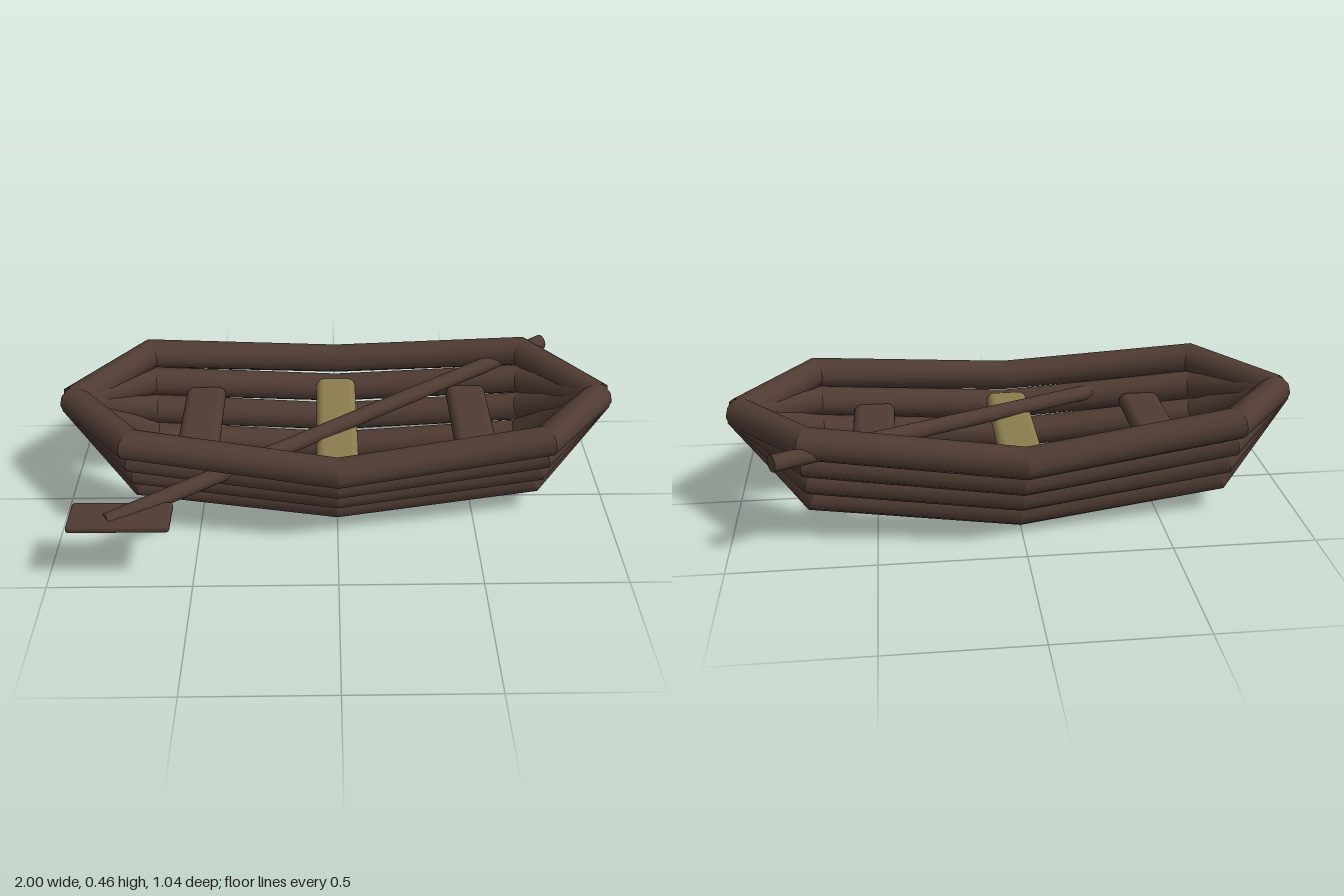
import * as THREE from 'three';
import { RoundedBoxGeometry } from 'three/addons/geometries/RoundedBoxGeometry.js';

const MID = -0.08; // z of the hull's centre line

// Straight log segments joined by mitred corners, with closed ends
function logGeometry(points, radius, sides = 10) {
  const pos = [], index = [];
  const dirs = points.slice(1).map((p, i) => p.clone().sub(points[i]).normalize());
  const rings = points.map((p, i) => {
    const dir = dirs[Math.max(0, i - 1)];
    const plane = dir.clone().add(dirs[Math.min(i, dirs.length - 1)]).normalize();
    const side = new THREE.Vector3().crossVectors(dir, new THREE.Vector3(0, 1, 0)).normalize();
    const up = new THREE.Vector3().crossVectors(side, dir);
    return Array.from({ length: sides }, (_, k) => {
      const a = (k / sides) * Math.PI * 2;
      const v = side.clone().multiplyScalar(Math.cos(a) * radius).addScaledVector(up, Math.sin(a) * radius);
      v.addScaledVector(dir, -v.dot(plane) / dir.dot(plane));
      return v.add(p);
    });
  });
  const push = (v) => pos.push(v.x, v.y, v.z);
  for (let i = 0; i < dirs.length; i++) {
    const base = pos.length / 3;
    rings[i].forEach(push);
    rings[i + 1].forEach(push);
    for (let k = 0; k < sides; k++) {
      const a = base + k, b = base + ((k + 1) % sides);
      index.push(a, b + sides, b, a, a + sides, b + sides);
    }
  }
  // End caps
  [[rings[0], true], [rings[rings.length - 1], false]].forEach(([ring, start]) => {
    const base = pos.length / 3;
    ring.forEach(push);
    for (let k = 1; k < sides - 1; k++) {
      if (start) index.push(base, base + k, base + k + 1);
      else index.push(base, base + k + 1, base + k);
    }
  });
  const g = new THREE.BufferGeometry();
  g.setAttribute('position', new THREE.Float32BufferAttribute(pos, 3));
  g.setIndex(index);
  g.computeVertexNormals();
  return g;
}

export function createModel() {
  const model = new THREE.Group();
  model.name = 'rowingBoat';

  const wood = new THREE.MeshStandardMaterial({ color: 0x4f3b33 });
  wood.name = 'dark wood';
  const pale = new THREE.MeshStandardMaterial({ color: 0x8a7c4e });
  pale.name = 'pale wood';

  const add = (parent, name, geometry, material, x = 0, y = 0, z = 0) => {
    const mesh = new THREE.Mesh(geometry, material);
    mesh.name = name;
    mesh.position.set(x, y, z);
    parent.add(mesh);
    return mesh;
  };

  // Hull: four logs on each side, all meeting at the two bows
  const hull = new THREE.Group();
  hull.name = 'hull';
  model.add(hull);
  for (const s of [1, -1]) {
    for (let i = 0; i < 4; i++) {
      const midY = 0.054 + i * 0.0935, midZ = MID + s * (0.188 + i * 0.0665);
      const kneeX = 0.708 + i * 0.002, kneeY = 0.132 + i * 0.0915, kneeZ = MID + s * (0.146 + i * 0.0545);
      const path = [
        [-0.958, 0.39, MID], [-kneeX, kneeY, kneeZ], [0, midY, midZ],
        [kneeX, kneeY, kneeZ], [0.958, 0.39, MID],
      ].map((p) => new THREE.Vector3(...p));
      add(hull, i === 3 ? 'topRail' : 'hullLog', logGeometry(path, 0.055), wood);
    }
  }

  // Benches
  for (const s of [1, -1]) {
    add(model, 'endSeat', new RoundedBoxGeometry(0.15, 0.06, 0.47, 4, 0.029), wood, s * 0.5, 0.28, MID);
  }
  add(model, 'middleSeat', new RoundedBoxGeometry(0.15, 0.06, 0.585, 4, 0.029), pale, 0, 0.28, MID);

  // Oar lying across the boat
  const oar = new THREE.Group();
  oar.name = 'oar';
  model.add(oar);
  const grip = new THREE.Vector3(0.815, 0.39, -0.49);
  const tip = new THREE.Vector3(-0.77, 0.26, 0.465);
  const span = grip.clone().sub(tip);
  const shaft = add(oar, 'oarShaft', new THREE.CylinderGeometry(0.029, 0.028, span.length(), 16), wood);
  shaft.position.copy(tip).addScaledVector(span, 0.5);
  shaft.quaternion.setFromUnitVectors(new THREE.Vector3(0, 1, 0), span.normalize());
  add(oar, 'oarBlade', new RoundedBoxGeometry(0.34, 0.026, 0.14, 2, 0.01), wood, -0.727, 0.262, 0.448);

  return model;
}
